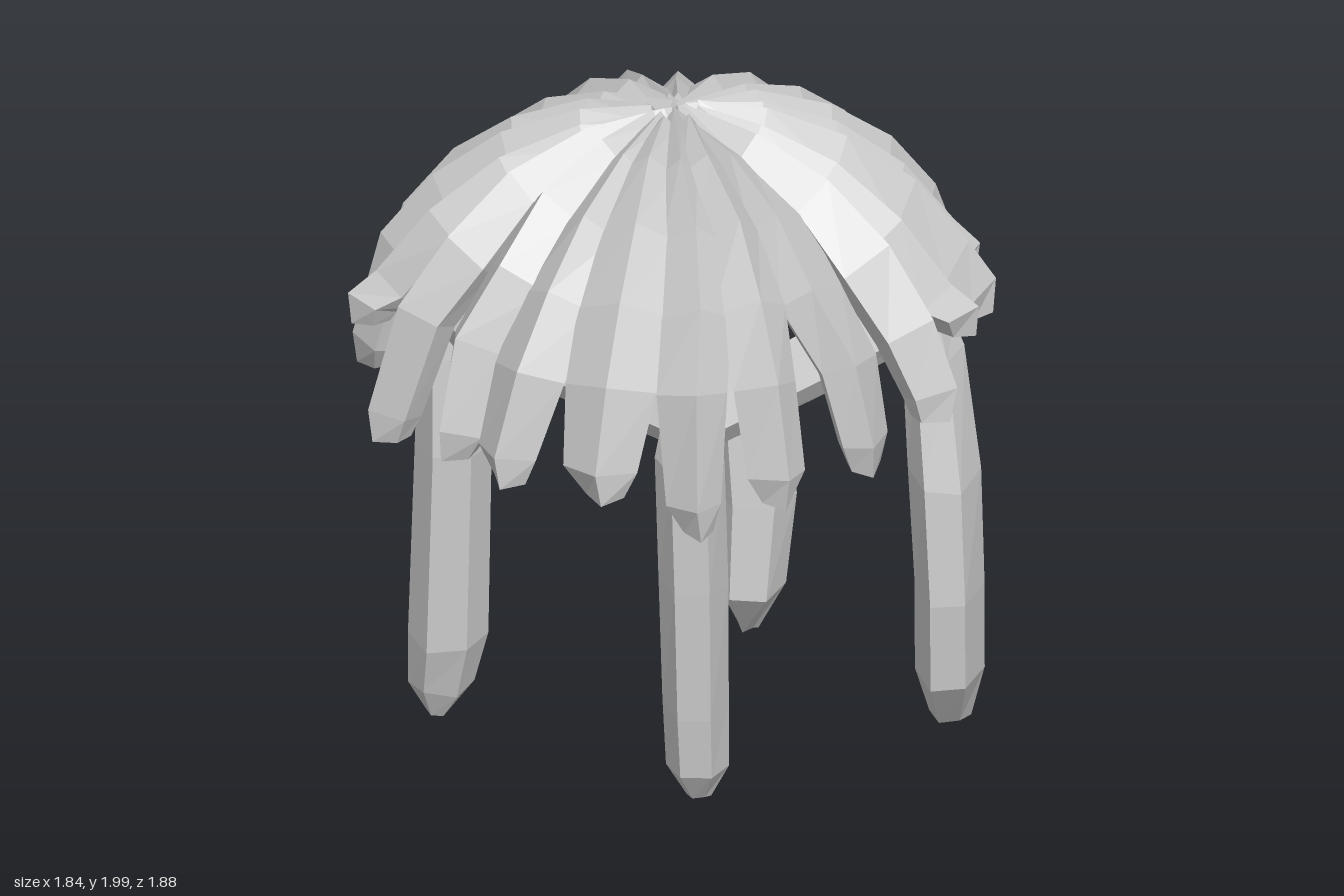
import * as THREE from 'three';

const material = new THREE.MeshStandardMaterial({ color: 0xcccccc, flatShading: true, side: THREE.DoubleSide });

// Small seeded generator for the hand-hewn irregularity
let seed = 7;
const rand = (amount) => {
  seed = (seed * 16807) % 2147483647;
  return (seed / 2147483647 * 2 - 1) * amount;
};

// Skin over rings of points (counter-clockwise about the travel direction), capped at both ends
function loft(rings, name) {
  const pos = [];
  const tri = (...pts) => pts.forEach((p) => pos.push(p.x, p.y, p.z));
  const n = rings[0].length;
  const centre = (ring) => ring.reduce((s, p) => s.add(p), new THREE.Vector3()).divideScalar(n);
  const first = rings[0], last = rings[rings.length - 1];
  const c0 = centre(first), c1 = centre(last);
  for (let j = 0; j < n; j++) {
    const k = (j + 1) % n;
    for (let i = 0; i < rings.length - 1; i++) {
      const [a, b, c, d] = [rings[i][j], rings[i][k], rings[i + 1][k], rings[i + 1][j]];
      tri(a, b, c);
      tri(a, c, d);
    }
    tri(c0, first[k], first[j]);
    tri(c1, last[j], last[k]);
  }
  const geometry = new THREE.BufferGeometry();
  geometry.setAttribute('position', new THREE.Float32BufferAttribute(pos, 3));
  geometry.computeVertexNormals();
  const mesh = new THREE.Mesh(geometry, material);
  mesh.name = name;
  return mesh;
}

// Roof leaf: sharply ridged section swept down the dome curve, ending in a chunky blunt tip
const SECTION = [[0, 0], [-0.5, -0.55], [-0.28, -1], [0.28, -1], [0.5, -0.55]];
function makeLeaf(x, z, tip, width = 1) {
  const reach = Math.hypot(x, z) / 0.93;
  const lift = rand(0.012);
  const path = [
    [0.04 + rand(0.04), 1.99, 0.06, 0.07], [0.27, 1.95, 0.13, 0.11], [0.5, 1.85, 0.19, 0.15],
    [0.7, 1.69, 0.23, 0.17], [0.85, Math.max(1.49, tip + 0.17), 0.22, 0.17],
    [0.93, tip + 0.11, 0.18, 0.15], [0.92, tip + 0.01, 0.1, 0.11],
  ].map(([r, y, w, h], i) => ({
    r: r * reach, y: y + (i > 0 && i < 5 ? lift : 0),
    w: w * width * (1 + rand(0.1)), h, bend: i < 6 ? rand(0.018) : 0,
  }));
  const skew = rand(0.25);
  const rings = path.map((p, i) => {
    const a = path[Math.max(i - 1, 0)], b = path[Math.min(i + 1, path.length - 1)];
    const len = Math.hypot(b.r - a.r, b.y - a.y);
    const nz = -(b.y - a.y) / len, ny = (b.r - a.r) / len;
    return SECTION.map(([u, v], j) => {
      const drop = v * p.h;
      const side = (u + (j === 0 ? skew : 0)) * p.w + p.bend;
      return new THREE.Vector3(side, p.y + ny * drop, p.r + nz * drop);
    });
  });
  const leaf = loft(rings, 'roofLeaf');
  leaf.rotation.y = Math.atan2(x, z);
  return leaf;
}

// Post: irregular hexagons, each level given as [y, xMin, xMax, zMin, zMax]
function makePost(levels, name) {
  const rings = levels.map(([y, x0, x1, z0, z1]) => Array.from({ length: 6 }, (_, j) => {
    const a = (j + 0.5) * Math.PI / 3;
    return new THREE.Vector3(
      (x0 + x1) / 2 + Math.sin(a) * (x1 - x0) / 2,
      y + rand(0.012),
      (z0 + z1) / 2 + Math.cos(a) * (z1 - z0) / 1.73,
    );
  }));
  return loft(rings, name);
}

// Beam: tapered hexagonal log between two post heads
function makeBeam(from, to) {
  const a = new THREE.Vector3(...from), b = new THREE.Vector3(...to);
  const length = a.distanceTo(b);
  const rings = [[0, 0.05], [0.06, 0.085], [0.5, 0.09], [0.94, 0.085], [1, 0.05]].map(([t, r]) =>
    Array.from({ length: 6 }, (_, j) => {
      const ang = j * Math.PI / 3;
      const rr = r + rand(0.007);
      return new THREE.Vector3(Math.cos(ang) * rr, Math.sin(ang) * rr, t * length);
    }));
  const beam = loft(rings, 'beam');
  beam.position.copy(a);
  beam.lookAt(b);
  return beam;
}

export function createModel() {
  seed = 7;
  const model = new THREE.Group();
  model.name = 'thatchedHut';

  // Leaves: tip x, tip z, tip height, relative width
  const roof = new THREE.Group();
  roof.name = 'roof';
  const tips = [
    [0.04, -0.94, 1.13], [0.35, -0.89, 1.15], [0.6, -0.75, 1.14], [0.78, -0.56, 1.18],
    [0.86, -0.31, 1.3, 0.9], [0.92, -0.12, 1.26, 0.85], [0.88, 0.12, 1.32, 0.85], [0.81, 0.43, 1.19],
    [0.62, 0.67, 1.14], [0.35, 0.87, 1.12, 0.9], [0.11, 0.94, 1.05, 0.85], [-0.18, 0.9, 1.14, 1.15],
    [-0.48, 0.76, 1.12], [-0.65, 0.59, 1.12], [-0.86, 0.35, 1.06], [-0.93, 0.06, 1.3],
    [-0.92, -0.16, 1.06], [-0.84, -0.39, 1.12], [-0.7, -0.59, 1.14], [-0.53, -0.77, 1.14],
    [-0.27, -0.89, 1.13],
  ];
  tips.forEach((t) => roof.add(makeLeaf(...t)));
  model.add(roof);

  // Four posts set in a diamond
  model.add(
    makePost([
      [0.1, 0.06, 0.13, 0.61, 0.67], [0.2, 0, 0.18, 0.52, 0.73], [0.4, -0.01, 0.18, 0.51, 0.75],
      [0.8, -0.02, 0.18, 0.55, 0.77], [1.2, -0.03, 0.17, 0.59, 0.78], [1.36, 0, 0.15, 0.6, 0.74],
    ], 'frontPost'),
    makePost([
      [0.01, 0.16, 0.22, -0.64, -0.58], [0.17, 0.09, 0.3, -0.7, -0.46], [0.45, 0.09, 0.33, -0.72, -0.49],
      [0.8, 0.07, 0.29, -0.74, -0.53], [1.15, 0.05, 0.25, -0.76, -0.57], [1.3, 0.07, 0.22, -0.74, -0.58],
    ], 'backPost'),
    makePost([
      [0.05, 0.73, 0.85, -0.08, 0.06], [0.22, 0.69, 0.89, -0.12, 0.18], [0.5, 0.69, 0.89, -0.11, 0.2],
      [0.85, 0.67, 0.88, -0.1, 0.17], [1.22, 0.65, 0.83, -0.1, 0.08], [1.31, 0.66, 0.8, -0.08, 0.06],
    ], 'leftPost'),
    makePost([
      [0.04, -0.71, -0.64, -0.04, 0.04], [0.12, -0.76, -0.57, -0.09, 0.08], [0.28, -0.76, -0.53, -0.11, 0.12],
      [0.9, -0.74, -0.52, -0.1, 0.12], [1.2, -0.73, -0.56, -0.08, 0.09], [1.34, -0.71, -0.58, -0.07, 0.07],
    ], 'rightPost'),
  );

  // Ring of beams joining the post heads
  const heads = [[0.08, 1.3, 0.66], [0.73, 1.36, 0], [0.15, 1.27, -0.66], [-0.65, 1.32, 0]];
  heads.forEach((h, i) => model.add(makeBeam(h, heads[(i + 1) % 4])));

  return model;
}
